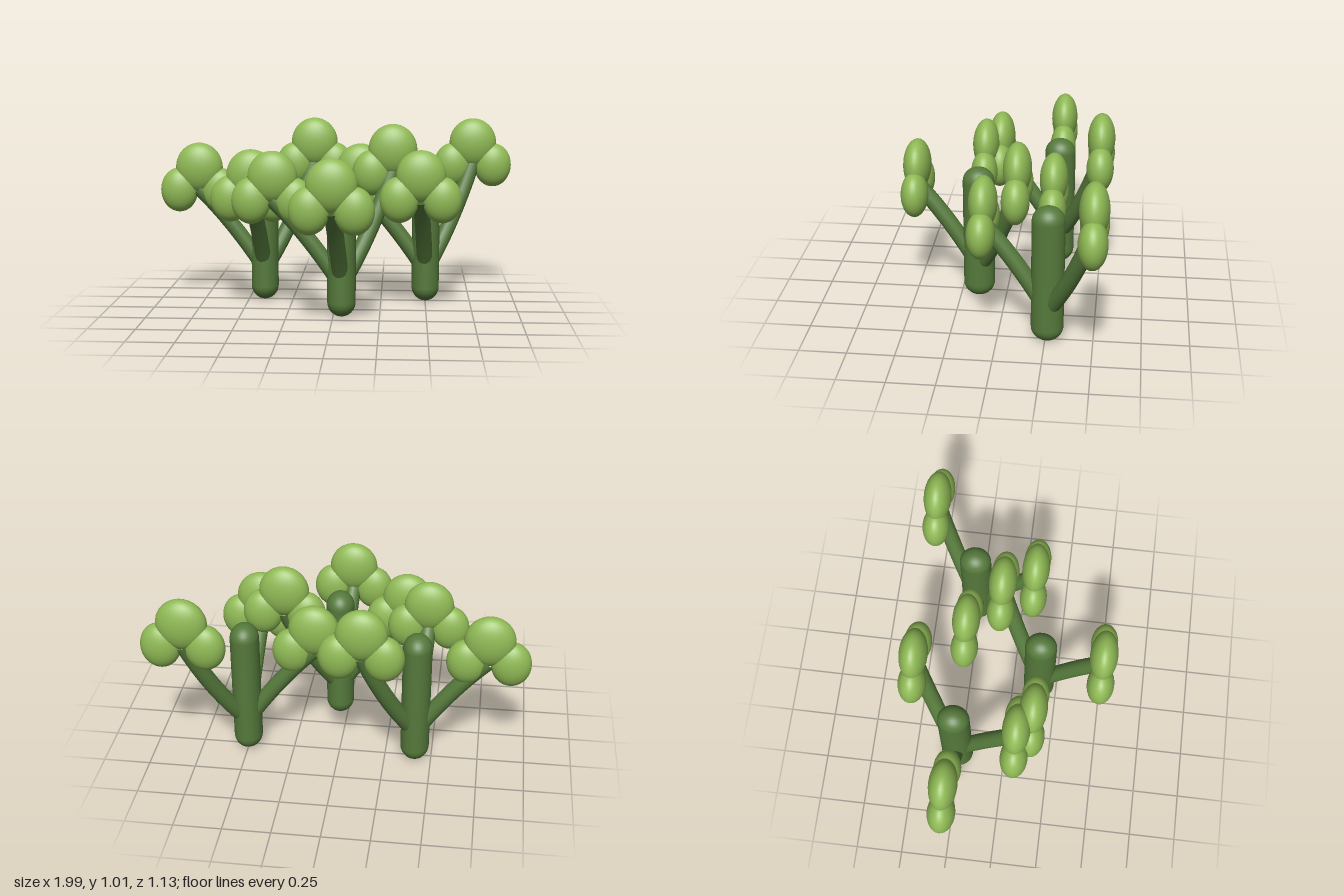
import * as THREE from 'three';

const stemGreen = new THREE.MeshStandardMaterial({ color: 0x55793b });
stemGreen.name = 'stemGreen';
const leafGreen = new THREE.MeshStandardMaterial({ color: 0x8fb955 });
leafGreen.name = 'leafGreen';

const V = (x, y, z) => new THREE.Vector3(x, y, z);
const ball = new THREE.SphereGeometry(1, 32, 20);
const trunkShape = new THREE.CapsuleGeometry(0.08, 0.6, 8, 28);

// Branch tips and bends relative to the trunk, with the height of the top leaf
const branches = [
  { name: 'leftwardBranch', tip: [-0.368, 0.63, 0], bend: [-0.19, 0.46, 0], leafY: 0.75 },
  { name: 'frontBranch', tip: [-0.035, 0.63, 0.335], bend: [-0.018, 0.46, 0.172], leafY: 0.75 },
  { name: 'backBranch', tip: [0.268, 0.76, -0.235], bend: [0.15, 0.41, -0.132], leafY: 0.875 },
];

function addLeaf(parent, name, position, radii) {
  const leaf = new THREE.Mesh(ball, leafGreen);
  leaf.name = name;
  leaf.position.set(...position);
  leaf.scale.set(...radii);
  parent.add(leaf);
}

// One large flattened ball with a smaller one low on each side
function createLeafCluster(x, y, z) {
  const cluster = new THREE.Group();
  cluster.name = 'leafCluster';
  cluster.position.set(x, y, z);
  addLeaf(cluster, 'topLeaf', [0, 0, 0], [0.133, 0.14, 0.074]);
  for (const side of [-1, 1]) {
    addLeaf(cluster, 'sideLeaf', [side * 0.115, -0.127, 0], [0.105, 0.125, 0.073]);
  }
  return cluster;
}

function createPlant() {
  const plant = new THREE.Group();
  plant.name = 'plant';

  const trunk = new THREE.Mesh(trunkShape, stemGreen);
  trunk.name = 'trunk';
  trunk.position.y = 0.38;
  trunk.scale.set(0.96, 1, 1.07);
  plant.add(trunk);

  // Curved branches growing from inside the trunk
  for (const { name, tip, bend, leafY } of branches) {
    const path = new THREE.QuadraticBezierCurve3(V(0, 0.17, 0), V(...bend), V(...tip));
    const branch = new THREE.Mesh(new THREE.TubeGeometry(path, 20, 0.044, 16), stemGreen);
    branch.name = name;
    plant.add(branch, createLeafCluster(tip[0], leafY, tip[2]));
  }
  return plant;
}

export function createModel() {
  const model = new THREE.Group();
  model.name = 'plantGroup';
  for (const [x, z] of [[-0.41, -0.26], [0.5, -0.26], [0.045, 0.15]]) {
    const plant = createPlant();
    plant.position.set(x, 0, z);
    model.add(plant);
  }
  return model;
}
